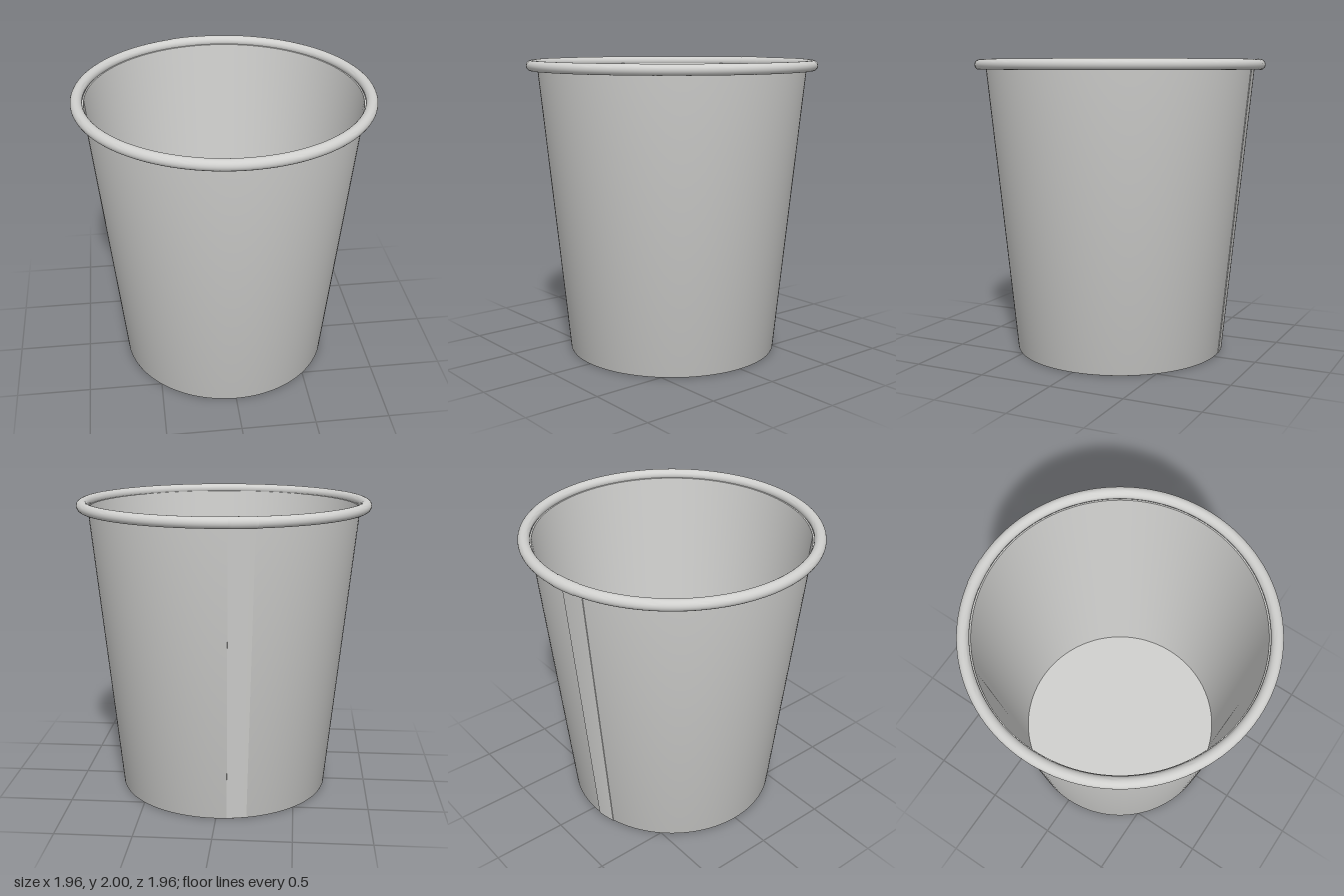
import * as THREE from 'three';
import { toCreasedNormals } from 'three/addons/utils/BufferGeometryUtils.js';

const SEGMENTS = 128;

// Revolve a counter-clockwise [radius, y] outline, keeping sharp edges crisp.
function revolve(points, segments = SEGMENTS, start = 0, sweep = Math.PI * 2) {
  const profile = points.map(([r, y]) => new THREE.Vector2(r, y));
  return toCreasedNormals(new THREE.LatheGeometry(profile, segments, start, sweep), 0.7);
}

// Outer wall radius at a given height.
const wallRadius = (y) => 0.714 + 0.0985 * y;

// Closed cross-section of the rolled rim, slightly flattened underneath.
function rimOutline(grow = 0) {
  const points = [];
  for (let i = 0; i <= 24; i++) {
    const a = (i / 24) * Math.PI * 2;
    const y = 1.964 + Math.sin(a) * (0.036 + grow);
    points.push([0.942 + Math.cos(a) * (0.038 + grow), Math.max(y, 1.932 - grow)]);
  }
  return points;
}

export function createModel() {
  const cup = new THREE.Group();
  cup.name = 'paperCup';
  const paper = new THREE.MeshStandardMaterial({ color: 0xd0d0ce });
  paper.name = 'light grey paper';

  const add = (name, geometry) => {
    const mesh = new THREE.Mesh(geometry, paper);
    mesh.name = name;
    cup.add(mesh);
  };

  // Tapered wall: outside going up, then inside down to the floor
  add('wall', revolve([
    [0.702, 0.004], [0.706, 0.001], [0.711, 0.003], [0.715, 0.012],
    [wallRadius(1.95), 1.95], [wallRadius(1.95) - 0.01, 1.95],
    [0.717, 0.15],
  ]));

  // Recessed floor and the folded skirt beneath it
  add('floor', revolve([
    [0, 0.14], [0.697, 0.14], [0.702, 0.135], [0.702, 0.004],
  ]));
  add('floorTop', revolve([[0.72, 0.152], [0, 0.152]]));

  // Rolled rim
  add('rim', revolve(rimOutline()));

  // Overlapping paper seam at the back, towards the right
  const start = Math.PI + 0.1, sweep = 0.18, t = 0.005;
  add('seamLap', revolve([
    [wallRadius(0.01) - 0.004, 0.003], [wallRadius(0.01) + t, 0.008],
    [wallRadius(1.94) + t, 1.94],
  ], 8, start, sweep));
  add('rimLap', revolve(rimOutline(0.002), 8, start, sweep));

  // Closing edges of the seam
  for (const [angle, side] of [[start, 0], [start + sweep, 1]]) {
    const shape = new THREE.Shape([
      new THREE.Vector2(wallRadius(0.01) - 0.004, 0.003),
      new THREE.Vector2(wallRadius(0.01) + t, 0.008),
      new THREE.Vector2(wallRadius(1.94) + t, 1.94),
      new THREE.Vector2(wallRadius(1.94) - 0.004, 1.94),
    ]);
    const edge = new THREE.ShapeGeometry(shape);
    if (side === 0) {
      // Flip the starting edge so it faces away from the lap
      const index = edge.index.array;
      for (let i = 0; i < index.length; i += 3) {
        [index[i], index[i + 1]] = [index[i + 1], index[i]];
      }
    }
    edge.rotateY(angle - Math.PI / 2);
    // Sweep direction is towards -z of the unrotated shape
    const index = edge.index.array;
    for (let i = 0; i < index.length; i += 3) {
      [index[i], index[i + 1]] = [index[i + 1], index[i]];
    }
    edge.computeVertexNormals();
    add(side ? 'seamEndEdge' : 'seamStartEdge', edge);
  }

  return cup;
}
